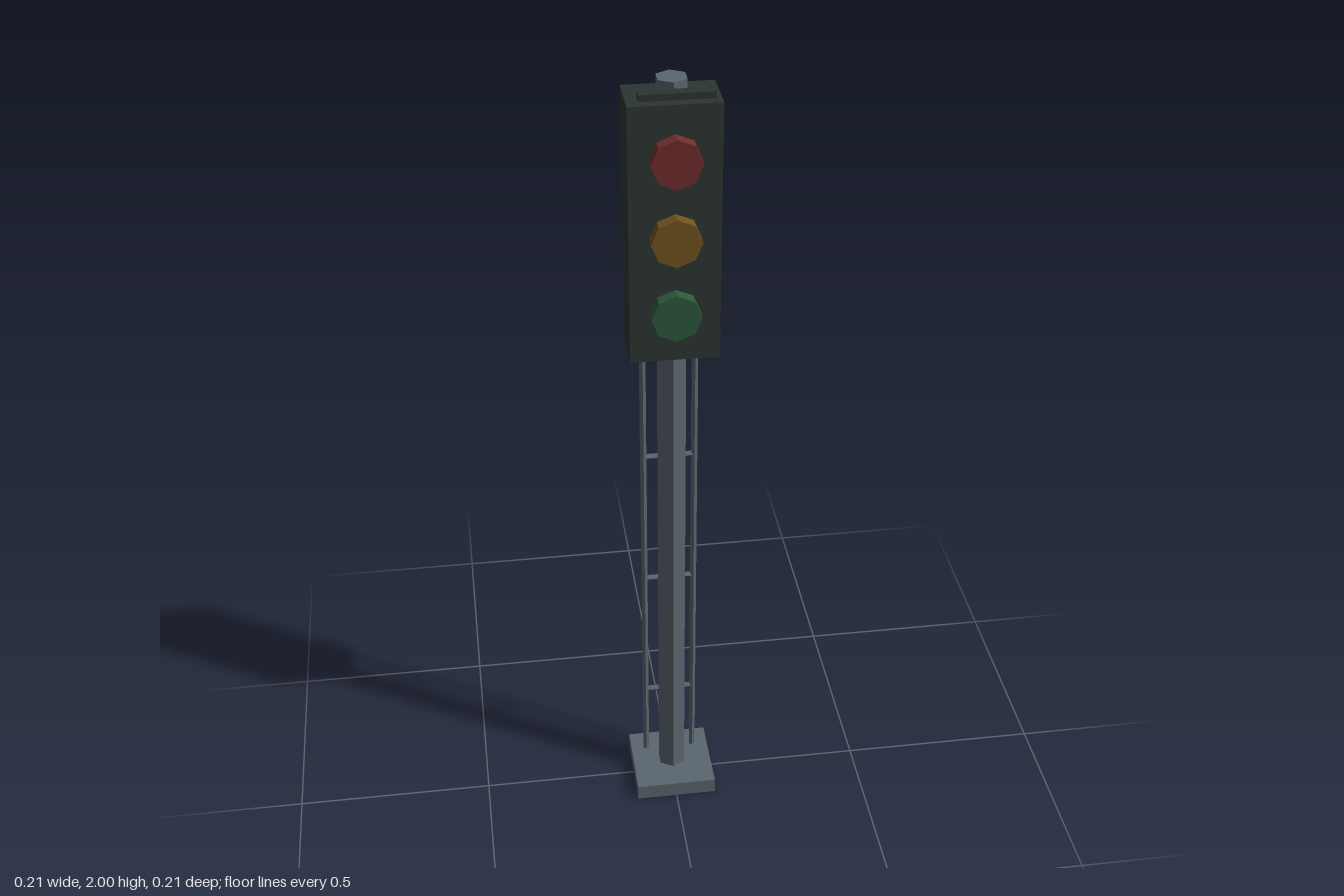
import * as THREE from 'three';

const material = (name, color) => {
  const m = new THREE.MeshStandardMaterial({ color, flatShading: true });
  m.name = name;
  return m;
};

export function createModel() {
  const group = new THREE.Group();
  group.name = 'trafficSignal';

  const steel = material('steel grey', 0x5a666e);
  const casing = material('dark casing', 0x2c3533);
  const red = material('red lens', 0x702d2e);
  const amber = material('amber lens', 0x70531f);
  const green = material('green lens', 0x2b593c);

  const add = (name, geometry, mat, x, y, z) => {
    const mesh = new THREE.Mesh(geometry, mat);
    mesh.name = name;
    mesh.position.set(x, y, z);
    group.add(mesh);
    return mesh;
  };

  // Foot plate and hexagonal pole running up through the head
  add('basePlate', new THREE.BoxGeometry(0.208, 0.042, 0.208), steel, 0, 0.021, 0);
  add('pole', new THREE.CylinderGeometry(0.037, 0.037, 1.96, 6), steel, 0, 1.02, 0);

  // Signal head and the thin visor bar above it
  add('signalHead', new THREE.BoxGeometry(0.208, 0.622, 0.124), casing, 0, 1.65, 0);
  add('visor', new THREE.BoxGeometry(0.166, 0.015, 0.025), casing, 0, 1.9925, 0.0815);

  // Octagonal lenses
  const lens = new THREE.CylinderGeometry(0.058, 0.058, 0.042, 8).rotateX(Math.PI / 2);
  [['redLens', red, 1.837], ['amberLens', amber, 1.65], ['greenLens', green, 1.463]]
    .forEach(([name, mat, y]) => add(name, lens, mat, 0, y, 0.073));

  // Ladder behind the pole
  const rail = new THREE.CylinderGeometry(0.0085, 0.0085, 1.252, 6);
  for (const side of [-1, 1]) {
    add(side > 0 ? 'leftLadderRail' : 'rightLadderRail', rail, steel, side * 0.063, 0.667, -0.05);
  }
  const rung = new THREE.CylinderGeometry(0.007, 0.007, 0.126, 6).rotateZ(Math.PI / 2);
  for (let i = 0; i < 3; i++) {
    add('ladderRung' + (i + 1), rung, steel, 0, 0.253 + i * 0.374, -0.05);
  }

  return group;
}
